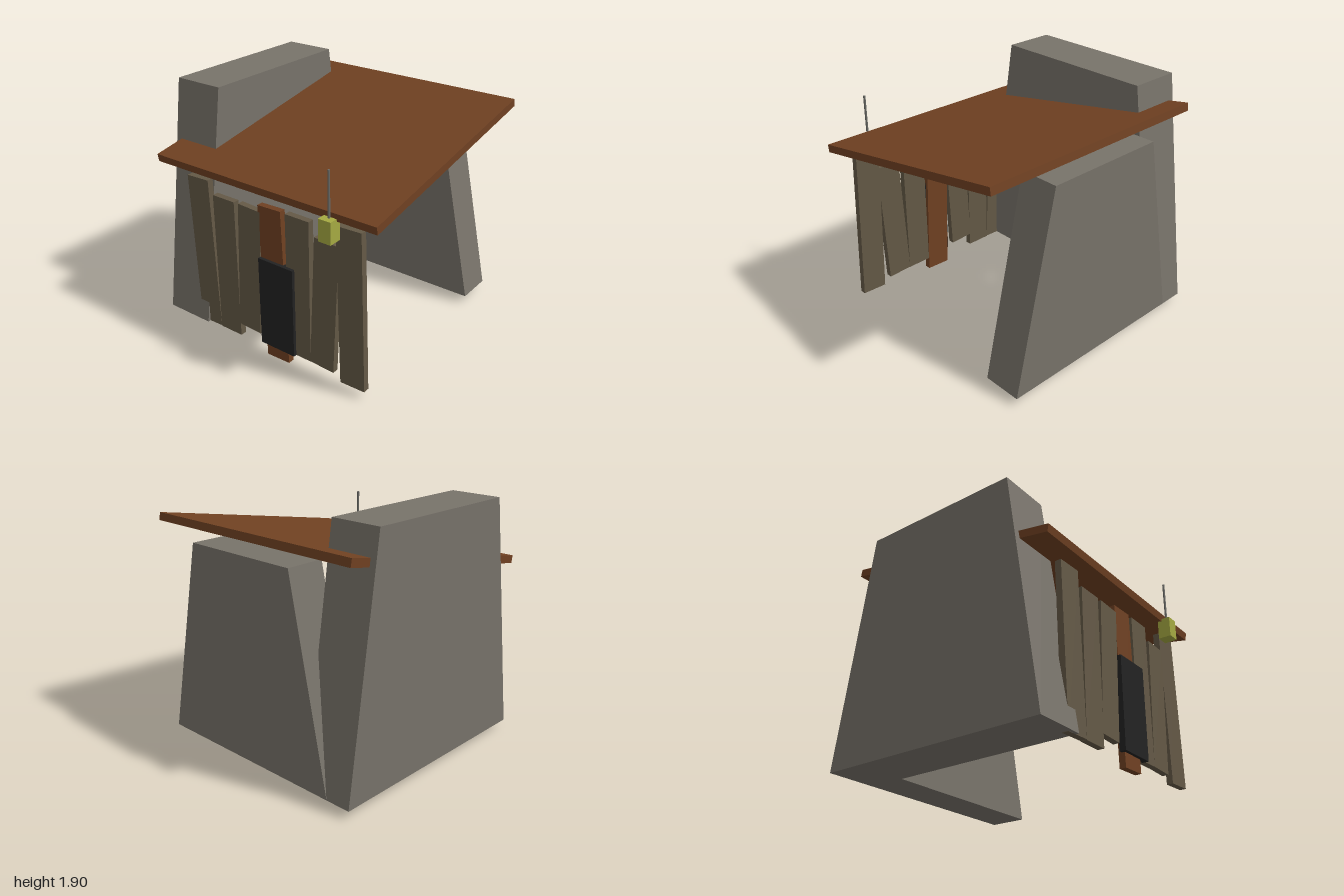
import * as THREE from 'three';

const mat = (name, color) => {
  const m = new THREE.MeshStandardMaterial({ color });
  m.name = name;
  return m;
};

export function createModel() {
  const root = new THREE.Group();
  root.name = 'leanToShack';
  const stone = mat('stone', 0x78736a);
  const rust = mat('rustBrown', 0x704122);
  const wood = mat('weatheredWood', 0x645946);
  const black = mat('black', 0x222222);
  const yellow = mat('lanternYellow', 0xa6aa42);
  const metal = mat('greyMetal', 0x6b6b66);

  const add = (name, geometry, material, x, y, z) => {
    const mesh = new THREE.Mesh(geometry, material);
    mesh.name = name;
    mesh.position.set(x, y, z);
    root.add(mesh);
    return mesh;
  };
  const box = (name, material, w, h, d, x, y, z) =>
    add(name, new THREE.BoxGeometry(w, h, d), material, x, y, z);

  // Stone slab: a trapezoid standing on its long edge, centred on its thickness
  const slab = (bottom, top, height, thickness) => {
    const s = new THREE.Shape([
      new THREE.Vector2(-bottom / 2, 0), new THREE.Vector2(bottom / 2, 0),
      new THREE.Vector2(top / 2, height), new THREE.Vector2(-top / 2, height),
    ]);
    return new THREE.ExtrudeGeometry(s, { depth: thickness, bevelEnabled: false })
      .translate(0, 0, -thickness / 2);
  };
  add('sideWall', slab(1.845, 1.3, 1.845, 0.405), stone, -0.797, 0.06, -0.05)
    .rotation.y = Math.PI / 2;
  add('backWall', slab(1.64, 0.98, 1.54, 0.305), stone, 0.02, 0.06, -0.82);

  // Sloping roof sheet, high at the back
  box('roof', rust, 1.95, 0.06, 1.843, 0.025, 1.545, 0.003).rotation.x = 0.18;

  // Uneven front planks: centre x, bottom, top, tilt, material
  const planks = [
    [-0.594, 0.06, 1.285, 0.035, wood],
    [-0.367, 0.06, 1.187, 0, wood],
    [-0.145, 0.16, 1.185, -0.045, wood],
    [0.085, 0.005, 1.237, 0.035, rust],
    [0.31, 0.113, 1.237, 0, wood],
    [0.537, 0.11, 1.136, -0.045, wood],
    [0.76, 0.06, 1.286, 0.035, wood],
  ];
  planks.forEach(([x, y0, y1, tilt, m], i) => {
    box(`plank${i + 1}`, m, 0.205, y1 - y0, 0.05, x, (y0 + y1) / 2, 0.823).rotation.z = tilt;
  });

  // Dark panel fixed to the planks
  box('frontPanel', black, 0.31, 0.715, 0.05, 0.125, 0.47, 0.849);

  // Lantern with its thin rod
  box('lantern', yellow, 0.1, 0.163, 0.1, 0.64, 1.288, 0.922);
  add('lanternRod', new THREE.CylinderGeometry(0.009, 0.009, 0.36, 8), metal, 0.64, 1.52, 0.922);

  return root;
}
